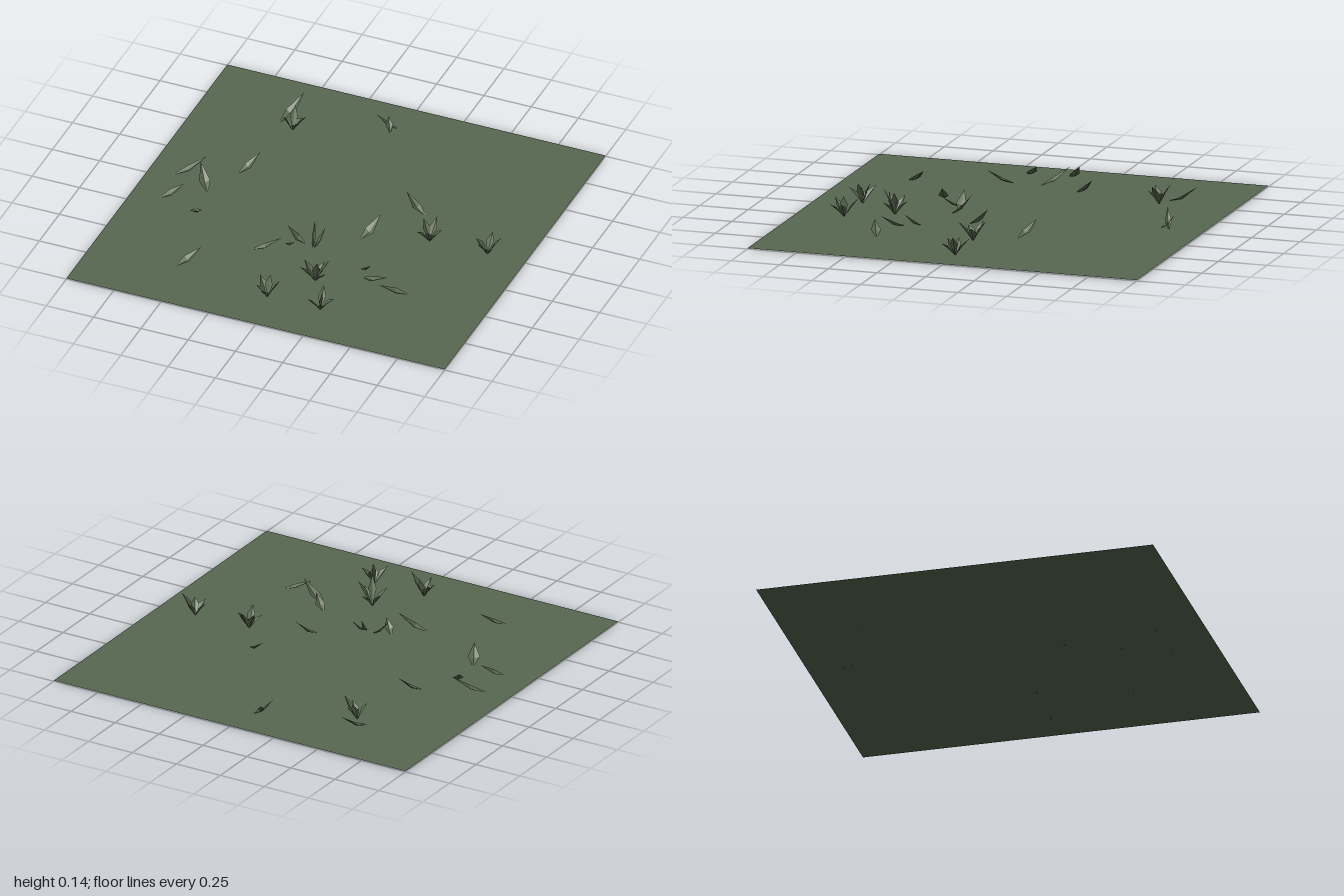
import * as THREE from 'three';

const GROUND_Y = 0.006;

// One folded, upward-bending leaf from a base point to a raised tip.
// rise is the share of the height already reached at the widest point.
function leafGeometry(bx, bz, tx, tz, height, width, rise) {
  const dx = tx - bx, dz = tz - bz, len = Math.hypot(dx, dz) || 1;
  const sx = (-dz / len) * width / 2, sz = (dx / len) * width / 2;
  const mx = bx + dx * 0.48, mz = bz + dz * 0.48;
  const my = GROUND_Y + height * rise;
  const base = [bx, GROUND_Y - 0.004, bz];
  const left = [mx - sx, my + 0.012, mz - sz];
  const crease = [mx, my, mz];
  const right = [mx + sx, my + 0.012, mz + sz];
  const tip = [tx, height, tz];
  const faces = [base, crease, left, base, right, crease, crease, tip, left, crease, right, tip];
  const g = new THREE.BufferGeometry();
  g.setAttribute('position', new THREE.Float32BufferAttribute(faces.flat(), 3));
  g.computeVertexNormals();
  return g;
}

export function createModel() {
  const model = new THREE.Group();
  model.name = 'grassPatch';
  const groundMat = new THREE.MeshStandardMaterial({ color: 0x566850, side: THREE.DoubleSide });
  groundMat.name = 'mossGreen';
  const leafMat = new THREE.MeshStandardMaterial({ color: 0x5c6c50, side: THREE.DoubleSide, flatShading: true });
  leafMat.name = 'leafGreen';

  // Flat square ground
  const ground = new THREE.Mesh(new THREE.PlaneGeometry(2, 2).rotateX(-Math.PI / 2), groundMat);
  ground.position.y = GROUND_Y;
  ground.name = 'ground';
  model.add(ground);

  function addLeaf(parent, name, ...spec) {
    const leaf = new THREE.Mesh(leafGeometry(...spec), leafMat);
    leaf.name = name;
    parent.add(leaf);
  }

  // Single leaves: base x, base z, tip x, tip z, height, width
  const singles = [
    [-0.575, -0.63, -0.51, -0.8, 0.1, 0.055],
    [-0.59, -0.15, -0.51, -0.26, 0.09, 0.05],
    [-0.88, -0.02, -0.73, -0.12, 0.095, 0.05],
    [-0.65, 0.06, -0.745, -0.07, 0.09, 0.055],
    [-0.86, 0.19, -0.755, 0.11, 0.07, 0.055],
    [-0.665, 0.19, -0.6, 0.31, 0.075, 0.06],
    [-0.56, 0.7, -0.46, 0.59, 0.08, 0.055],
    [-0.28, 0.42, -0.125, 0.38, 0.09, 0.05],
    [0.28, 0.35, 0.36, 0.41, 0.07, 0.05],
    [0.31, 0.42, 0.48, 0.49, 0.085, 0.055],
    [0.6, 0.47, 0.455, 0.53, 0.06, 0.05],
    [0.18, 0.14, 0.245, 0.02, 0.1, 0.06],
    [0.4, -0.18, 0.27, -0.24, 0.08, 0.05],
    [-0.02, -0.82, -0.12, -0.78, 0.09, 0.035],
    [-0.04, -0.77, -0.075, -0.83, 0.06, 0.035],
    [0, 0.29, -0.03, 0.19, 0.1, 0.02],
    [0.005, 0.29, 0.03, 0.2, 0.08, 0.02],
    [-0.04, 0.27, -0.14, 0.27, 0.09, 0.05],
    [-0.14, 0.29, -0.07, 0.36, 0.06, 0.045],
  ];
  singles.forEach((s, i) => addLeaf(model, `singleLeaf${i + 1}`, ...s, 0.18));

  // Tufts: centre, then each leaf's tip offset in x and z with its height
  const tufts = [
    { at: [0.5, 0.01], tips: [[-0.05, -0.04, 0.1], [0.01, -0.07, 0.11], [0.06, -0.01, 0.08], [0.02, 0.07, 0.1], [-0.05, 0.04, 0.07]] },
    { at: [0.8, 0], tips: [[-0.06, 0, 0.08], [0, -0.07, 0.09], [0.07, -0.01, 0.11], [0.04, 0.06, 0.07], [-0.03, 0.05, 0.08]] },
    { at: [0.12, 0.54], tips: [[-0.07, -0.03, 0.09], [0.03, 0.05, 0.145], [0.02, -0.07, 0.08], [0.07, -0.02, 0.13], [0.07, 0.04, 0.08], [-0.06, 0.05, 0.1]] },
    { at: [-0.04, 0.76], tips: [[-0.06, -0.05, 0.09], [0, -0.04, 0.11], [0.07, 0, 0.12], [0, 0.07, 0.08], [-0.05, 0.02, 0.07]] },
    { at: [0.24, 0.76], tips: [[-0.01, -0.07, 0.1], [0.07, -0.01, 0.08], [0.04, 0.06, 0.07], [-0.04, 0.06, 0.09], [0.01, 0, 0.11]] },
    { at: [-0.49, -0.61], tips: [[-0.01, -0.06, 0.11], [0.08, 0.01, 0.11], [0.05, 0.04, 0.08], [-0.04, 0.03, 0.09], [0.04, -0.03, 0.07]] },
  ];
  tufts.forEach(({ at: [cx, cz], tips }, i) => {
    const tuft = new THREE.Group();
    tuft.name = `tuft${i + 1}`;
    tips.forEach(([ox, oz, h], k) =>
      addLeaf(tuft, `tuftLeaf${k + 1}`, cx, cz, cx + ox, cz + oz, h, 0.04, 0.45));
    model.add(tuft);
  });

  return model;
}
